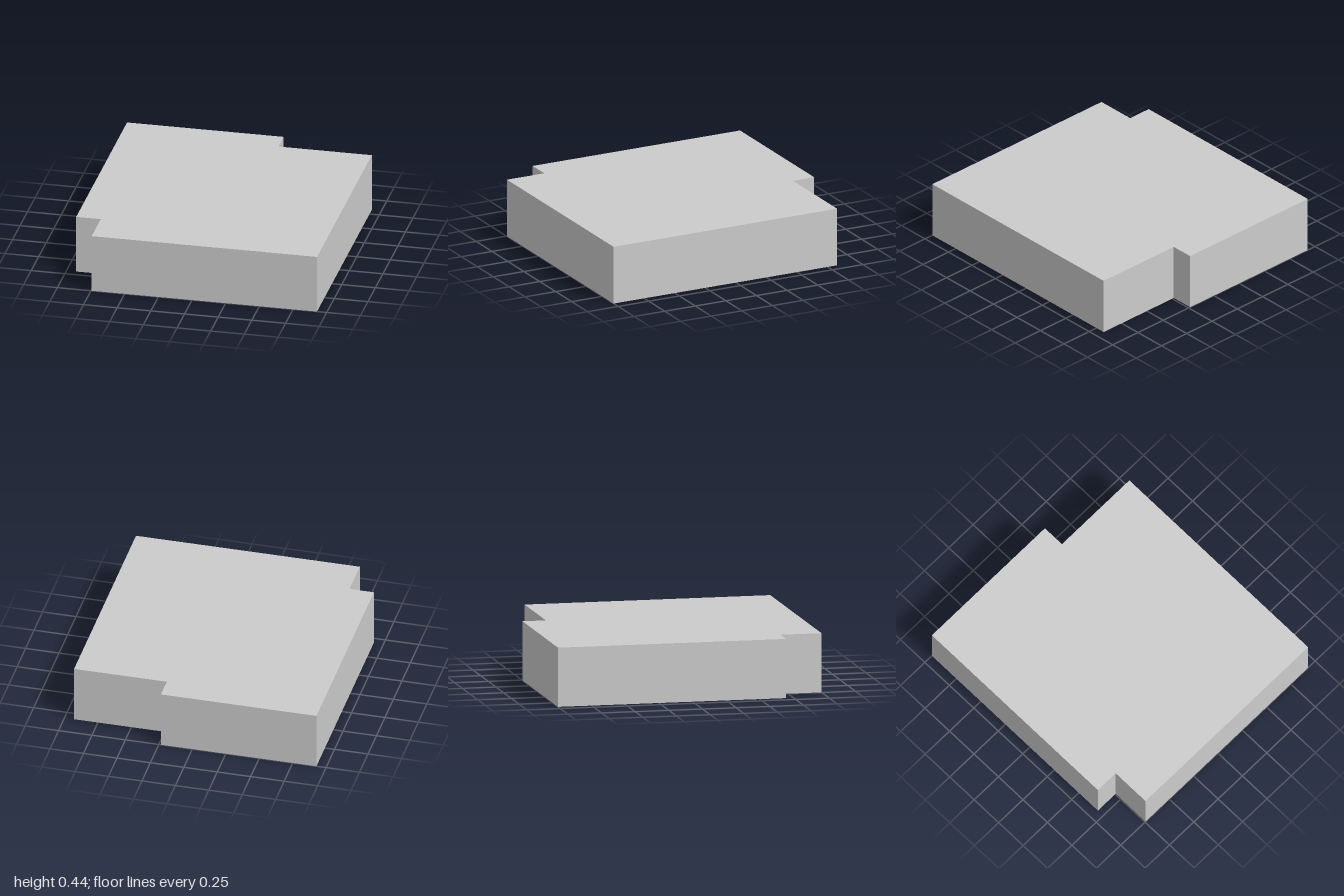
import * as THREE from 'three';

export function createModel() {
  const group = new THREE.Group();
  group.name = 'building';

  // Footprint corners as (x, z): a block with two notched corners
  const footprint = [
    [-0.745, 1], [0.928, 1], [0.928, -0.826], [0.235, -0.826],
    [0.235, -1], [-0.928, -1], [-0.928, 0.695], [-0.745, 0.695],
  ];
  const shape = new THREE.Shape(footprint.map(([x, z]) => new THREE.Vector2(x, -z)));

  // Raise the footprint to a flat roof
  const geometry = new THREE.ExtrudeGeometry(shape, { depth: 0.435, bevelEnabled: false });
  geometry.rotateX(-Math.PI / 2);

  const block = new THREE.Mesh(
    geometry,
    new THREE.MeshStandardMaterial({ color: 0xcccccc, flatShading: true }),
  );
  block.name = 'buildingBlock';
  group.add(block);
  return group;
}
